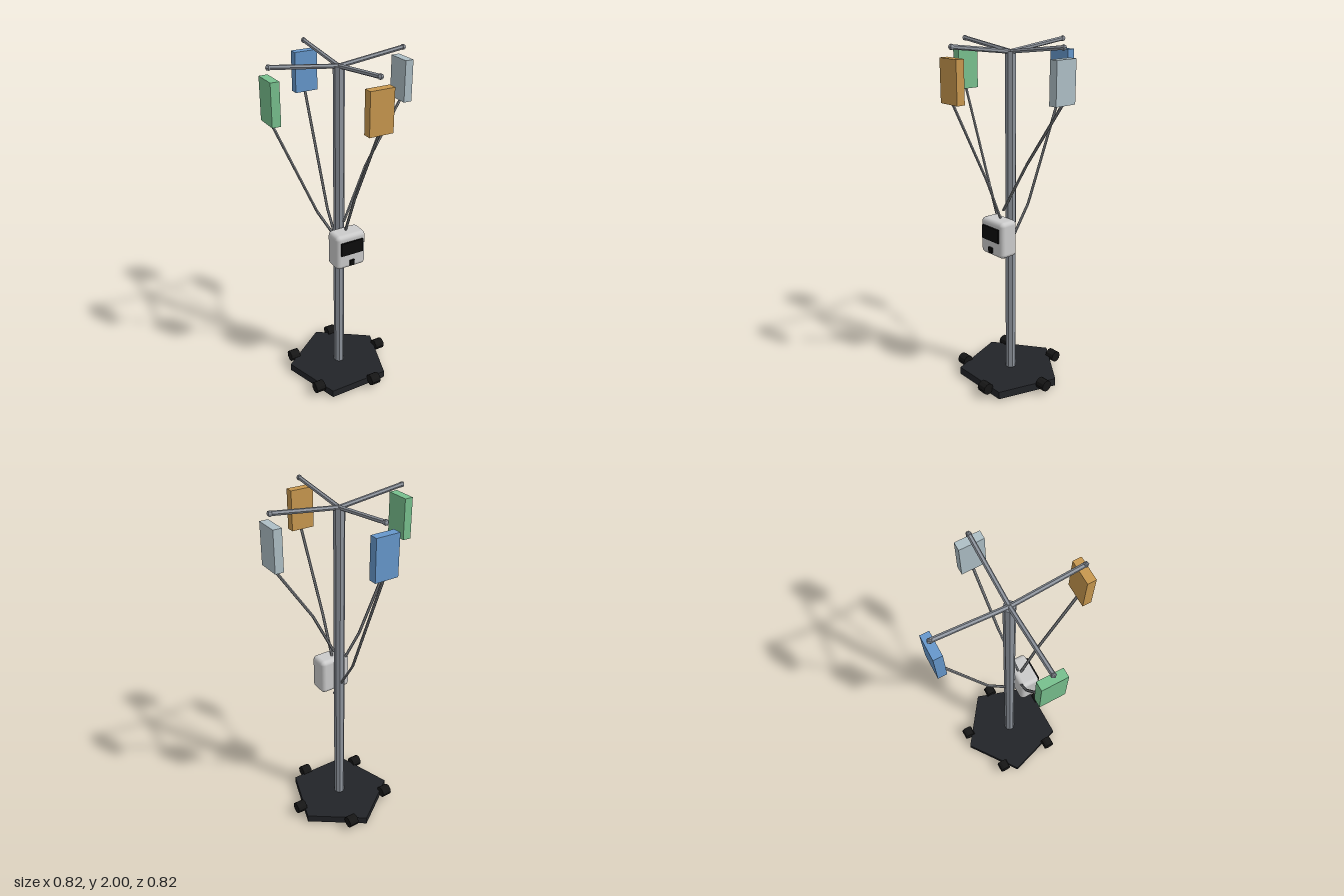
import * as THREE from 'three';
import { RoundedBoxGeometry } from 'three/addons/geometries/RoundedBoxGeometry.js';

const flat = (color) => new THREE.MeshStandardMaterial({ color, flatShading: true });

export function createModel() {
  const model = new THREE.Group();
  const steel = flat(0x8f959e);
  const cableGrey = flat(0x85888c);
  const rubber = flat(0x161616);
  const black = flat(0x0c0c0c);

  const add = (name, geometry, material, x = 0, y = 0, z = 0, parent = model) => {
    const mesh = new THREE.Mesh(geometry, material);
    mesh.name = name;
    mesh.position.set(x, y, z);
    parent.add(mesh);
    return mesh;
  };

  // Straight rod between two points
  const rod = (name, a, b, radius, sides, material, parent) => {
    const dir = b.clone().sub(a);
    const mid = a.clone().add(b).multiplyScalar(0.5);
    const mesh = add(name, new THREE.CylinderGeometry(radius, radius, dir.length(), sides),
      material, mid.x, mid.y, mid.z, parent);
    mesh.quaternion.setFromUnitVectors(new THREE.Vector3(0, 1, 0), dir.normalize());
    return mesh;
  };

  // Pentagonal foot, one corner to the back
  const base = add('base', new THREE.CylinderGeometry(0.308, 0.308, 0.046, 5), flat(0x222428), 0, 0.031, 0);
  base.rotation.y = Math.PI;

  // Five wheels around the foot, all with axles along x
  for (let i = 0; i < 5; i++) {
    const a = (i * Math.PI * 2) / 5;
    const wheel = add('wheel', new THREE.CylinderGeometry(0.034, 0.034, 0.058, 10), rubber,
      0.289 * Math.cos(a), 0.055, 0.289 * Math.sin(a));
    wheel.rotation.z = Math.PI / 2;
  }

  // Upright pole
  const pole = add('pole', new THREE.CylinderGeometry(0.031, 0.031, 1.94, 8), steel, 0, 0.97, 0);
  pole.rotation.y = Math.PI / 8;

  // Four arms with knobs and hanging bags
  const bags = [
    ['frontBag', 0, 1, 0xc8984f],
    ['leftBag', 1, 0, 0xaebfc6],
    ['backBag', 0, -1, 0x6698cc],
    ['rightBag', -1, 0, 0x78c08e],
  ];
  for (const [name, dx, dz, color] of bags) {
    const tip = new THREE.Vector3(dx * 0.387, 1.985, dz * 0.387);
    rod('arm', new THREE.Vector3(0, 1.938, 0), tip, 0.0125, 6, steel);
    add('armKnob', new THREE.SphereGeometry(0.016, 5, 4), steel, tip.x, tip.y, tip.z);
    const bag = add(name, new THREE.BoxGeometry(0.135, 0.226, 0.048), flat(color), tip.x, 1.818, tip.z);
    bag.rotation.y = Math.atan2(dx, dz);
  }

  // Bent tubes from the bags to the pump
  const tubes = [
    ['frontTube', [0, 1.705, 0.387], [0, 1.26, 0.17], [0, 1.0, 0.065]],
    ['leftTube', [0.387, 1.705, 0], [0.155, 1.36, 0.02], [0, 1.07, 0.055]],
    ['backTube', [0, 1.705, -0.387], [0, 1.07, -0.135], [0, 0.78, 0.055]],
    ['rightTube', [-0.387, 1.705, 0], [-0.15, 1.16, 0.022], [-0.065, 1.01, 0.042]],
  ];
  for (const [name, ...coords] of tubes) {
    const tube = new THREE.Group();
    tube.name = name;
    model.add(tube);
    const [a, b, c] = coords.map((p) => new THREE.Vector3(...p));
    rod('upperRun', a, b, 0.008, 6, cableGrey, tube);
    rod('lowerRun', b, c, 0.008, 6, cableGrey, tube);
    add('bend', new THREE.SphereGeometry(0.008, 6, 4), cableGrey, b.x, b.y, b.z, tube);
  }

  // Pump housing with screen and button
  const pump = new THREE.Group();
  pump.name = 'pump';
  model.add(pump);
  add('housing', new RoundedBoxGeometry(0.186, 0.212, 0.115, 2, 0.025),
    new THREE.MeshStandardMaterial({ color: 0xcccccc }), 0, 0.924, 0.088, pump);
  add('screen', new THREE.BoxGeometry(0.137, 0.079, 0.02), black, 0, 0.952, 0.146, pump);
  add('button', new THREE.BoxGeometry(0.029, 0.032, 0.02), black, 0, 0.855, 0.146, pump);

  return model;
}
